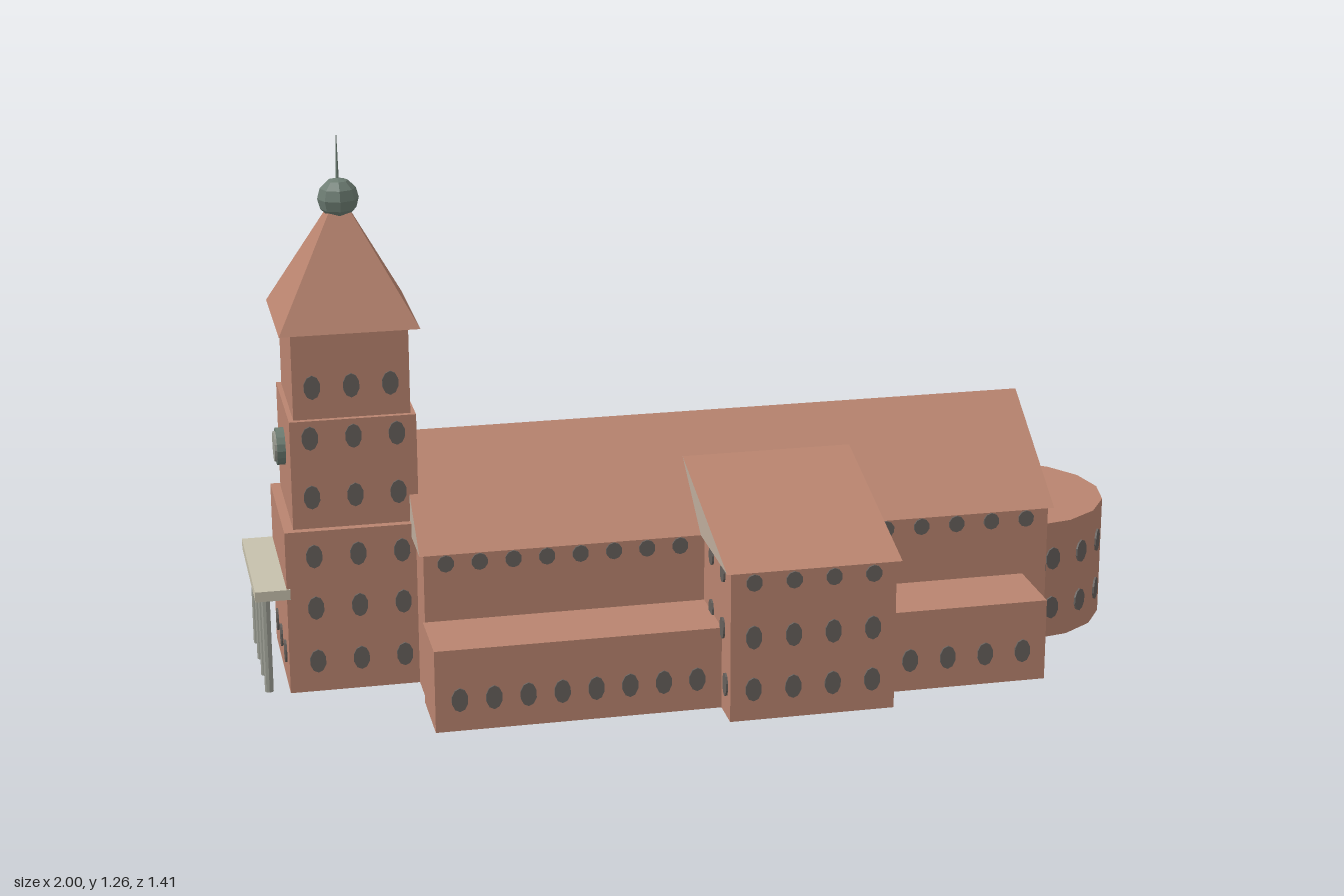
import * as THREE from 'three';

const flat = (name, color) => {
  const m = new THREE.MeshStandardMaterial({ color, flatShading: true, side: THREE.DoubleSide });
  m.name = name;
  return m;
};

export function createModel() {
  const brick = flat('brick', 0xb9846f);
  const plaster = flat('gable plaster', 0xbdab9b);
  const stone = flat('portal stone', 0xc6c0ac);
  const columnGrey = flat('column grey', 0x9a9c92);
  const glass = flat('window glass', 0x66605c);
  const copper = flat('weathered copper', 0x6d7d73);

  const model = new THREE.Group();
  model.name = 'church';
  // The church runs along local x and is turned on the plot
  const church = new THREE.Group();
  church.name = 'building';
  church.rotation.y = THREE.MathUtils.degToRad(23);
  church.position.set(0.0065, 0, 0.0155);
  model.add(church);

  const add = (name, geo, mat, x = 0, y = 0, z = 0) => {
    const mesh = new THREE.Mesh(geo, mat);
    mesh.name = name;
    mesh.position.set(x, y, z);
    church.add(mesh);
    return mesh;
  };

  // Hollow block without a floor, and without a top where a roof covers it
  const block = (name, x0, x1, y0, y1, z0, z1, top = true) => {
    const geo = new THREE.BoxGeometry(x1 - x0, y1 - y0, z1 - z0);
    const index = Array.from(geo.index.array);
    index.splice(top ? 18 : 12, top ? 6 : 12);
    geo.setIndex(index);
    geo.clearGroups();
    return add(name, geo, brick, (x0 + x1) / 2, (y0 + y1) / 2, (z0 + z1) / 2);
  };

  // Flat polygon from corner points
  const sheet = (name, mat, ...pts) => {
    const geo = new THREE.BufferGeometry();
    geo.setAttribute('position', new THREE.Float32BufferAttribute(pts.flat(), 3));
    const index = [];
    for (let i = 1; i < pts.length - 1; i++) index.push(0, i, i + 1);
    geo.setIndex(index);
    geo.computeVertexNormals();
    return add(name, geo, mat);
  };

  // Thin oval panes, showing on both sides of the wall
  const pane = new THREE.CylinderGeometry(1, 1, 0.009, 10).rotateX(Math.PI / 2);
  const windowAt = (x, y, z, turn = 0, h = 0.028) => {
    const m = add('window', pane, glass, x, y, z);
    m.scale.set(0.019, h, 1);
    m.rotation.y = turn;
  };
  const spread = (from, to, n) => Array.from({ length: n }, (_, i) => from + (to - from) * i / (n - 1));
  const alongX = (z, xs, ys, h) => { for (const x of xs) for (const y of ys) windowAt(x, y, z, 0, h); };
  const alongZ = (x, zs, ys, h) => { for (const z of zs) for (const y of ys) windowAt(x, y, z, Math.PI / 2, h); };

  // Nave
  const eave = 0.357, ridge = 0.557, r0 = -0.66, r1 = 0.835, rw = 0.302;
  block('naveWalls', -0.65, 0.824, 0, eave, -0.29, 0.29, false);
  for (const s of [1, -1]) {
    sheet('naveRoof', brick, [r0, eave, s * rw], [r1, eave, s * rw], [r1, ridge, 0], [r0, ridge, 0]);
  }
  for (const x of [r0, r1]) {
    sheet('naveGable', plaster, [x, eave, rw], [x, eave, -rw], [x, ridge, 0]);
  }
  alongZ(0.824, spread(-0.25, 0.25, 6), [0.335], 0.018);
  alongZ(0.824, [-0.262, 0.262], [0.075, 0.2]);

  // Aisles and transepts, mirrored across the nave
  for (const s of [1, -1]) {
    const span = (a, b) => (s > 0 ? [a, b] : [-b, -a]);
    block('aisle', -0.655, 0.766, 0, 0.194, ...span(0.29, 0.466));
    alongX(s * 0.466, spread(-0.6, -0.06, 8), [0.075]);
    alongX(s * 0.466, spread(0.44, 0.71, 4), [0.075]);
    alongZ(0.766, [s * 0.38], [0.075]);
    alongX(s * 0.29, spread(-0.6, -0.06, 8), [0.332], 0.02);
    alongX(s * 0.29, spread(0.43, 0.77, 5), [0.332], 0.02);

    block('transeptWalls', -0.003, 0.378, 0, eave, ...span(0.29, 0.55), false);
    const t0 = -0.014, t1 = 0.388, inner = 0.112, outer = 0.561, top = 0.484;
    sheet('transeptRoof', brick, [t0, eave, s * outer], [t1, eave, s * outer], [t1, top, s * inner], [t0, top, s * inner]);
    for (const x of [t0, t1]) {
      sheet('transeptGable', plaster, [x, eave, s * outer], [x, eave, s * rw], [x, top, s * inner]);
    }
    alongX(s * 0.55, spread(0.05, 0.325, 4), [0.075, 0.2]);
    alongX(s * 0.55, spread(0.05, 0.325, 4), [0.33], 0.02);
    for (const x of [-0.003, 0.378]) {
      alongZ(x, [s * 0.37, s * 0.48], [0.2], 0.026);
      alongZ(x, [s * 0.37, s * 0.48], [0.33], 0.02);
      alongZ(x, [s * 0.51], [0.075]);
    }
  }

  // Round apse with a flat roof
  const apseX = 0.82, apseR = 0.233, apseH = 0.29;
  add('apseWall', new THREE.CylinderGeometry(apseR, apseR, apseH, 16, 1, true), brick, apseX, apseH / 2, 0);
  add('apseRoof', new THREE.CircleGeometry(apseR, 16).rotateX(-Math.PI / 2), brick, apseX, apseH, 0);
  for (let i = 0; i < 8; i++) {
    const a = (i + 0.5) * Math.PI / 8;
    const d = apseR * Math.cos(Math.PI / 16);
    for (const y of [0.075, 0.2]) windowAt(apseX + d * Math.sin(a), y, d * Math.cos(a), a);
  }

  // Tower in three stages: half length, half width, bottom, top, window rows, window spacing
  const tx = -0.783;
  const stages = [
    [0.165, 0.174, 0, 0.39, [0.075, 0.205, 0.33], 0.1],
    [0.143, 0.155, 0.39, 0.645, [0.465, 0.605], 0.098],
    [0.132, 0.142, 0.645, 0.845, [0.72], 0.088],
  ];
  for (const [a, b, y0, y1, rows, gap] of stages) {
    block('towerStage', tx - a, tx + a, y0, y1, -b, b);
    for (const s of [1, -1]) alongX(s * b, [tx - gap, tx, tx + gap], rows);
  }
  alongZ(tx + 0.143, [-0.098, 0, 0.098], [0.605], 0.024);
  alongZ(tx + 0.132, [-0.052, 0.052], [0.72]);
  alongZ(tx - 0.165, [-0.1, 0, 0.1], [0.075]);

  // Spire, ball and finial
  add('spire', new THREE.ConeGeometry(0.158 * Math.SQRT2, 0.29, 4).rotateY(Math.PI / 4), brick, tx, 0.99, 0);
  add('spireBall', new THREE.SphereGeometry(0.047, 8, 6), copper, tx, 1.117, 0);
  add('finial', new THREE.CylinderGeometry(0.0012, 0.004, 0.11, 6), copper, tx, 1.206, 0);

  // Clock
  const clock = (name, r, depth, mat, x) =>
    add(name, new THREE.CylinderGeometry(r, r, depth, 16).rotateZ(Math.PI / 2), mat, x, 0.54, 0);
  clock('clockRim', 0.043, 0.024, copper, tx - 0.15);
  clock('clockFace', 0.035, 0.006, columnGrey, tx - 0.164);

  // Entrance canopy on columns
  add('portalCanopy', new THREE.BoxGeometry(0.08, 0.024, 0.358), stone, -0.98, 0.243, 0);
  for (const z of [-0.15, -0.05, 0.05, 0.15]) {
    add('portalColumn', new THREE.CylinderGeometry(0.01, 0.01, 0.232, 8), columnGrey, -0.995, 0.116, z);
  }

  return model;
}
